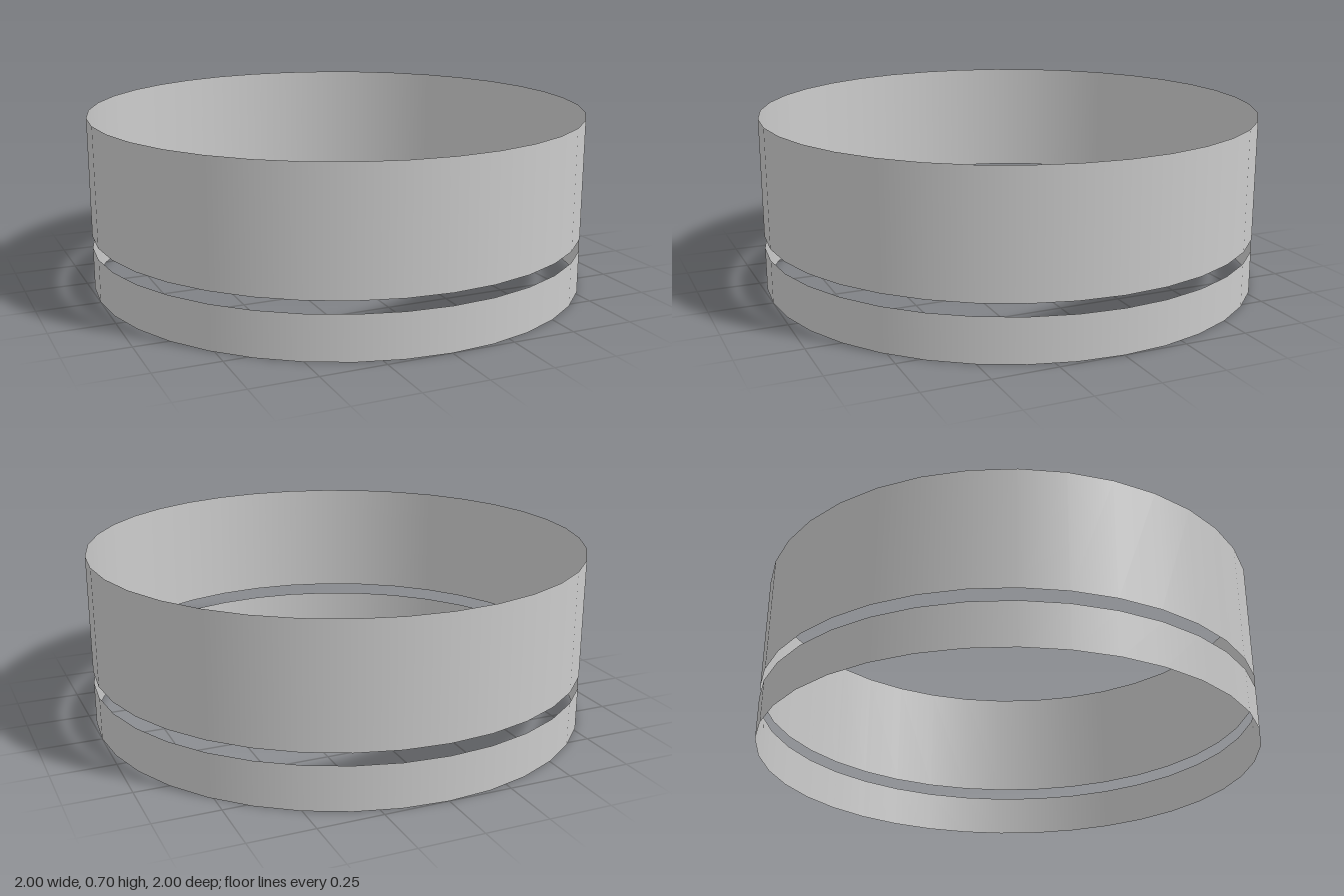
import * as THREE from 'three';

export function createModel() {
  const group = new THREE.Group();
  const material = new THREE.MeshStandardMaterial({ color: 0xcccccc, side: THREE.DoubleSide });

  // Thin open band of radius 1 between two heights
  function addBand(name, bottom, top) {
    const geometry = new THREE.CylinderGeometry(1, 1, top - bottom, 36, 1, true);
    const band = new THREE.Mesh(geometry, material);
    band.name = name;
    band.position.y = (bottom + top) / 2;
    group.add(band);
  }

  addBand('lowerBand', 0, 0.173);
  addBand('upperBand', 0.22, 0.697);

  return group;
}
